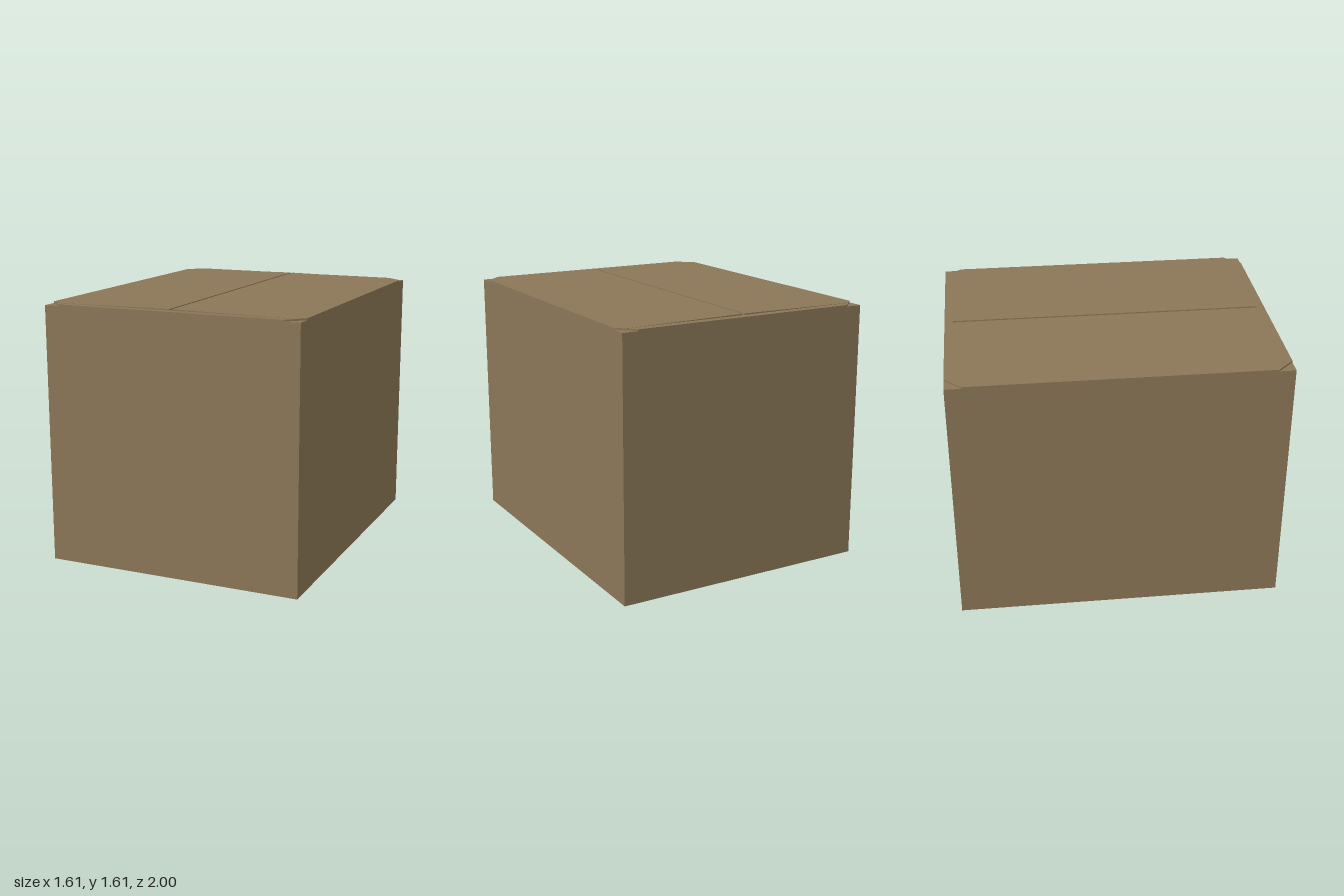
import * as THREE from 'three';

const HALF_W = 0.807, HALF_D = 1, BODY_H = 1.59, LID_Y = 1.6, RISE = 0.008;
const cardboard = new THREE.MeshStandardMaterial({ color: 0x8b7757, roughness: 0.9, flatShading: true });

// Flat sheet from an outline of [x, z] points, with its underside at y
function sheet(name, outline, y, thickness) {
  const shape = new THREE.Shape(outline.map(([x, z]) => new THREE.Vector2(x, -z)));
  const geo = new THREE.ExtrudeGeometry(shape, { depth: thickness, bevelEnabled: false });
  geo.rotateX(-Math.PI / 2).translate(0, y, 0);
  const mesh = new THREE.Mesh(geo, cardboard);
  mesh.name = name;
  return mesh;
}

// Major flap: lies flat at its hinge and rises slightly towards the centre slit
function majorFlap(name, side) {
  const slit = 0.008, end = 0.95;
  const outline = [
    [slit, end], [HALF_W - 0.05, end], [HALF_W, 0.9],
    [HALF_W, -0.9], [HALF_W - 0.05, -end], [slit, -end],
  ].map(([x, z]) => [x * side, z]);
  const mesh = sheet(name, outline, LID_Y, RISE);
  const pos = mesh.geometry.attributes.position;
  for (let i = 0; i < pos.count; i++) {
    if (pos.getY(i) > LID_Y + RISE / 2) {
      pos.setY(i, LID_Y + RISE * (1 - Math.abs(pos.getX(i)) / HALF_W) + 0.0002);
    }
  }
  mesh.geometry.computeVertexNormals();
  return mesh;
}

export function createModel() {
  const box = new THREE.Group();
  box.name = 'cardboardBox';

  // Carton walls and bottom
  const body = new THREE.Mesh(new THREE.BoxGeometry(2 * HALF_W, BODY_H, 2 * HALF_D), cardboard);
  body.position.y = BODY_H / 2;
  body.name = 'cartonBody';
  box.add(body);

  // Inner flaps, with the corners cut off
  const c = 0.1, w = HALF_W, d = HALF_D;
  box.add(sheet('innerFlaps', [
    [w - c, d], [w, d - c], [w, c - d], [w - c, -d],
    [c - w, -d], [-w, c - d], [-w, d - c], [c - w, d],
  ], BODY_H, LID_Y - BODY_H));

  // Outer flaps meeting at the centre slit
  box.add(majorFlap('leftFlap', 1), majorFlap('rightFlap', -1));
  return box;
}
